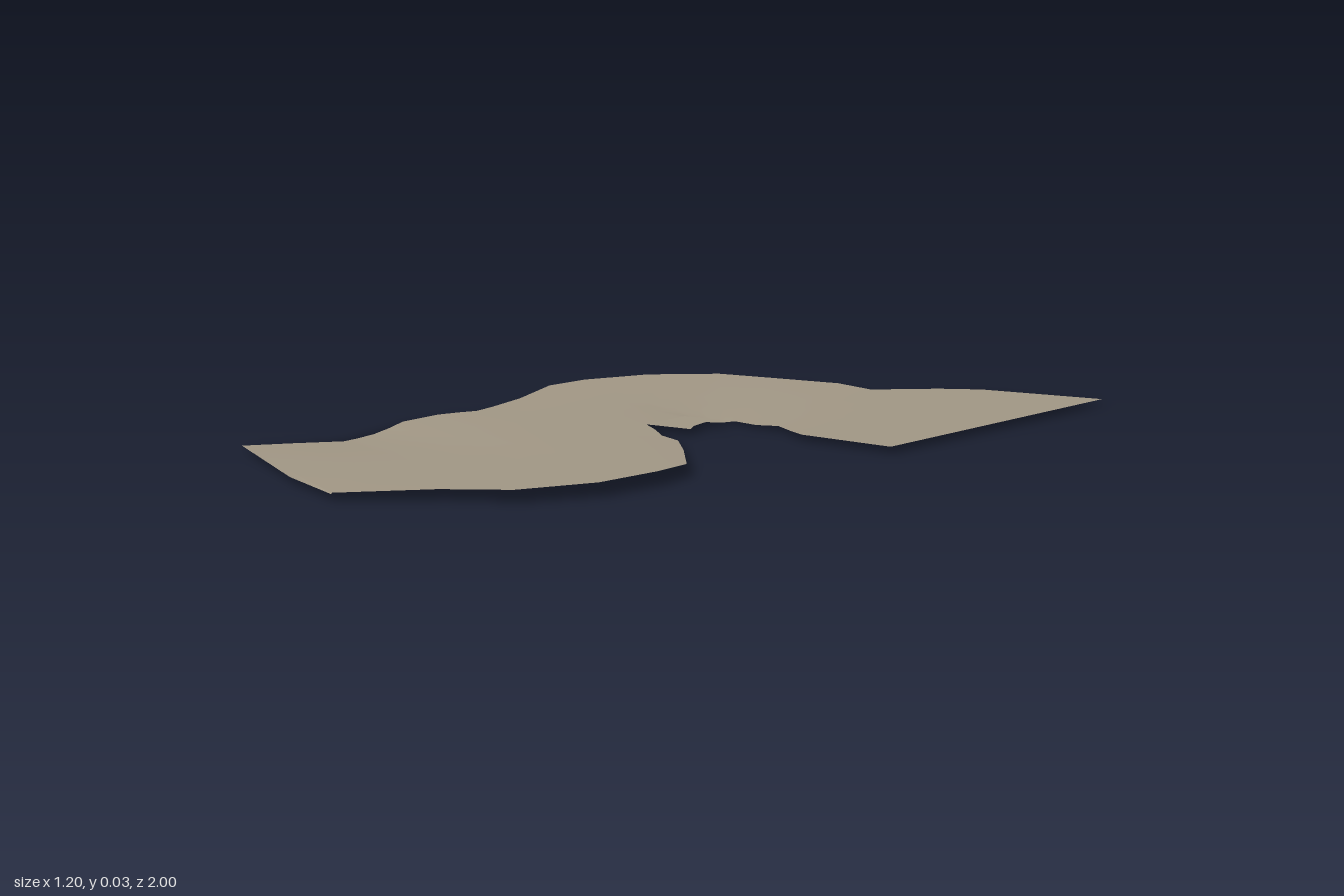
import * as THREE from 'three';

const BASE = 0.014; // mean height of the sheet
const ACROSS = 4;   // quads across the width

// Cross-sections along the S-bend: left x, left z, right x, right z, bank (left up is +)
const ribs = [
  [-0.24, 0.9, -0.045, 0.995, 0],
  [-0.6, 0.66, -0.045, 0.995, -0.003],
  [-0.55, 0.555, 0.11, 0.865, -0.007],
  [-0.5, 0.45, 0.25, 0.81, -0.012],
  [-0.51, 0.4, 0.34, 0.66, -0.014],
  [-0.52, 0.33, 0.36, 0.49, -0.014],
  [-0.53, 0.27, 0.345, 0.37, -0.01],
  [-0.545, 0.2, 0.22, 0.2, -0.004],
  [-0.535, 0.09, 0.13, 0.09, -0.001],
  [-0.515, 0.045, 0.06, 0.05, 0],
  [-0.495, 0, 0, -0.01, 0],
  [-0.505, -0.07, -0.06, -0.06, 0],
  [-0.525, -0.2, -0.06, -0.21, 0.003],
  [-0.575, -0.38, -0.03, -0.227, 0.009],
  [-0.55, -0.49, -0.015, -0.235, 0.013],
  [-0.475, -0.65, 0, -0.245, 0.014],
  [-0.34, -0.77, 0.02, -0.255, 0.013],
  [-0.2, -0.8, 0.04, -0.265, 0.01],
  [-0.03, -0.83, 0.12, -0.23, 0.007],
  [0.08, -0.8, 0.18, -0.23, 0.004],
  [0.2, -0.92, 0.24, -0.18, 0.002],
  [0.285, -0.98, 0.3, -0.135, 0],
  [0.595, -1, 0.54, -0.105, 0],
];

// Loft a thin sheet through the ribs, tilting each one by its bank
function makeSheet() {
  const positions = [], index = [];
  ribs.forEach(([lx, lz, rx, rz, bank], i) => {
    for (let j = 0; j <= ACROSS; j++) {
      const t = j / ACROSS;
      positions.push(lx + (rx - lx) * t, BASE + bank * (1 - 2 * t), lz + (rz - lz) * t);
      if (i && j) {
        const d = i * (ACROSS + 1) + j, b = d - ACROSS - 1;
        index.push(b - 1, b, d - 1, b, d, d - 1);
      }
    }
  });
  const geometry = new THREE.BufferGeometry();
  geometry.setAttribute('position', new THREE.Float32BufferAttribute(positions, 3));
  geometry.setIndex(index);
  geometry.computeVertexNormals();
  return geometry;
}

// Small forked flap on the inner side of the bend
function makeFlap() {
  const outline = [[-0.06, -0.06], [-0.06, -0.21], [0.07, -0.21], [0.03, -0.16], [0.04, -0.1], [0.06, -0.06]];
  const shape = new THREE.Shape(outline.map(([x, z]) => new THREE.Vector2(x, -z)));
  return new THREE.ShapeGeometry(shape).rotateX(-Math.PI / 2).translate(0, BASE, 0);
}

export function createModel() {
  const group = new THREE.Group();
  group.name = 'windingGround';
  const earth = new THREE.MeshStandardMaterial({ color: 0xa09684, side: THREE.DoubleSide });
  earth.name = 'dusty earth';

  const sheet = new THREE.Mesh(makeSheet(), earth);
  sheet.name = 'bankedGround';
  const flap = new THREE.Mesh(makeFlap(), earth);
  flap.name = 'innerFlap';
  group.add(sheet, flap);
  return group;
}
